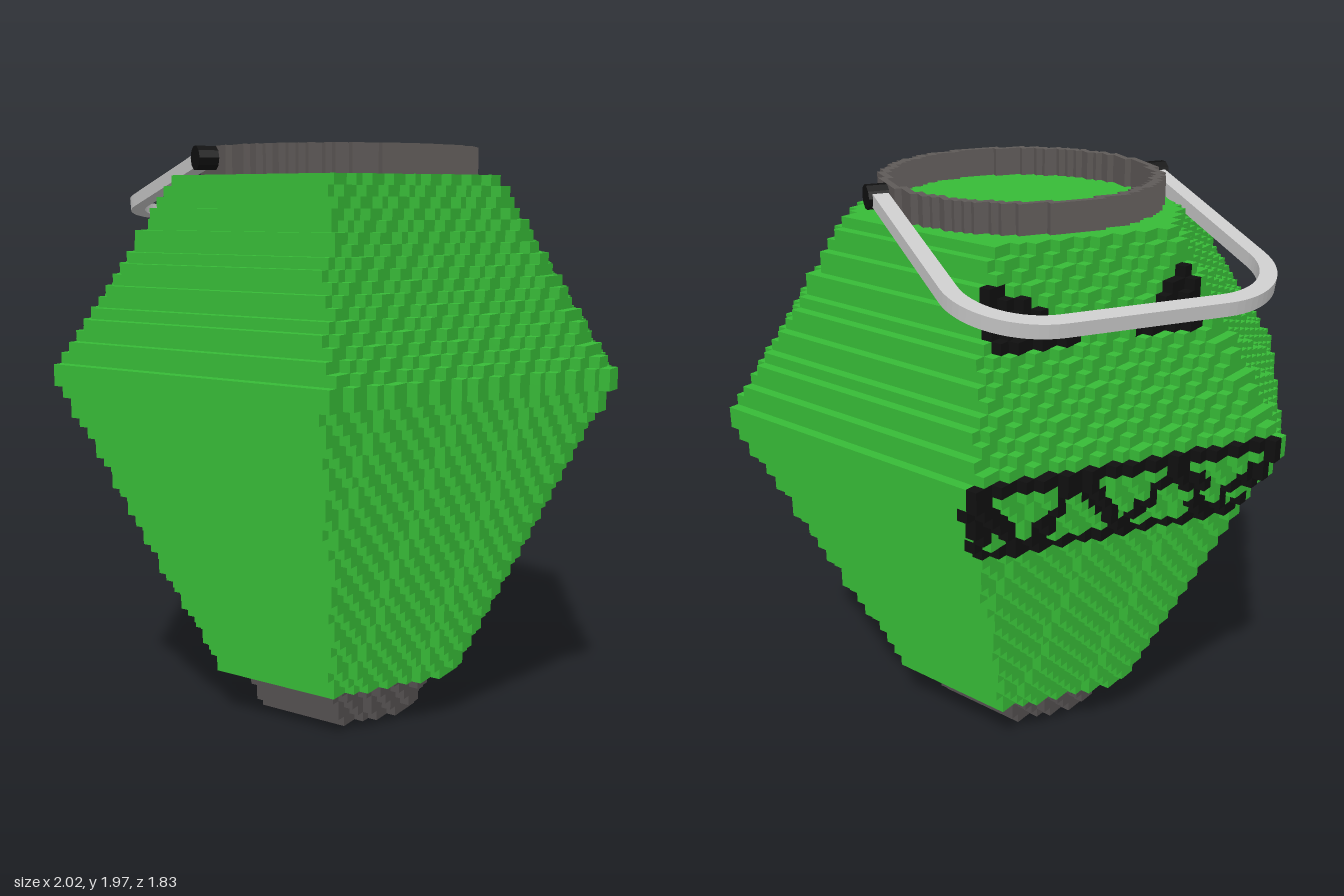
import * as THREE from 'three';
import { mergeGeometries } from 'three/addons/utils/BufferGeometryUtils.js';

const CELL = 0.0347;          // block size of the body
const BASE = 5, TOP = 54;     // layer numbers: base 0-4, body 5-53
const TAN30 = Math.tan(Math.PI / 6), COS30 = Math.cos(Math.PI / 6);

const mat = (color) => new THREE.MeshStandardMaterial({ color, flatShading: true });

function addMesh(parent, name, geometry, material) {
  const mesh = new THREE.Mesh(geometry, material);
  mesh.name = name;
  parent.add(mesh);
  return mesh;
}

// Stepped outline, symmetric on both axes, from whole-cell column heights
function steppedPoints(heights, cell) {
  const n = heights.length, pts = [];
  const column = (k) => heights[k < 0 ? -k - 1 : k] * cell;
  const push = (x, y) => pts.push(new THREE.Vector2(x, y));
  for (const side of [-1, 1]) {
    for (let j = -n; j < n; j++) {
      const k = side < 0 ? j : -j - 1;               // out along the bottom, back along the top
      const x0 = (side < 0 ? k : k + 1) * cell;
      const prev = j === -n ? null : column(side < 0 ? k - 1 : k + 1);
      if (prev !== null && prev === column(k)) continue;
      if (prev !== null) push(x0, side * prev);
      push(x0, side * column(k));
    }
    push(-side * n * cell, side * column(n - 1));
  }
  return pts;
}

// Flat slab lying on y
function slab(shape, y, height, curveSegments = 12) {
  return new THREE.ExtrudeGeometry(shape, { depth: height, bevelEnabled: false, curveSegments })
    .rotateX(-Math.PI / 2).translate(0, y, 0);
}

// Hexagon radius of each layer
function layerRadius(i) {
  if (i < BASE) return 0.3 + 0.0175 * i;
  if (i <= 35) return THREE.MathUtils.mapLinear(i, BASE, 35, 0.47, 1);
  return THREE.MathUtils.mapLinear(i, 36, TOP - 1, 1, 0.6);
}

// Column heights of a hexagon in whole cells
function hexHeights(R) {
  const n = Math.round(R * COS30 / CELL);
  return Array.from({ length: n }, (_, k) => Math.round((R - (k + 0.5) * CELL * TAN30) / CELL));
}

function circleHeights(r, cell) {
  const n = Math.round(r / cell);
  return Array.from({ length: n }, (_, k) =>
    Math.max(1, Math.round(Math.sqrt(Math.max(0, r * r - ((k + 0.5) * cell) ** 2)) / cell)));
}

function hexLayers(from, to) {
  const layers = [];
  for (let i = from; i < to; i++) {
    const shape = new THREE.Shape(steppedPoints(hexHeights(layerRadius(i)), CELL));
    layers.push(slab(shape, i * CELL, CELL));
  }
  return mergeGeometries(layers);
}

// Slanted triangular eyes
function isEye(x, y) {
  const ax = Math.abs(x);
  const upper = 1.6 + (ax - 0.08) * 0.65;
  const outer = 0.34 + (y - 1.6) * 0.25;
  return y > 1.6 && y < upper + 0.02 && ax > 0.08 && ax < outer;
}

// Framed mouth with zigzag teeth across the whole face
function isMouth(x, i) {
  if (i < 29 || i > 36) return false;
  const s = x / (layerRadius(i) / 2);
  const wave = Math.abs((((s + 1) * 1.5) % 1) * 2 - 1);
  return i === 29 || i === 36 || Math.abs(s) > 0.92 || Math.abs(wave - (i - 29) / 7) < 0.2;
}

// Dark blocks over the surface cells of the rear face
function faceBlocks(test) {
  const blocks = [], size = CELL * 1.08;
  for (let i = BASE; i < TOP; i++) {
    hexHeights(layerRadius(i)).forEach((h, k) => {
      const u = (k + 0.5) * CELL, v = -(h - 0.5) * CELL, y = (i + 0.5) * CELL;
      const x = u * COS30 + v * 0.5;
      if (test(x, y, i)) blocks.push(new THREE.BoxGeometry(size, size, size).translate(u, y, v));
    });
  }
  return mergeGeometries(blocks);
}

// U-shaped bar with rounded corners
function handleGeometry() {
  const w = 0.515, t = 0.052, len = 0.96, r = 0.27;
  const s = new THREE.Shape();
  s.moveTo(w, 0);
  s.lineTo(w, len - r);
  s.absarc(w - r, len - r, r, 0, Math.PI / 2, false);
  s.lineTo(r - w, len);
  s.absarc(r - w, len - r, r, Math.PI / 2, Math.PI, false);
  s.lineTo(-w, 0);
  s.lineTo(t - w, 0);
  s.lineTo(t - w, len - r);
  s.absarc(r - w, len - r, r - t, Math.PI, Math.PI / 2, true);
  s.lineTo(w - r, len - t);
  s.absarc(w - r, len - r, r - t, Math.PI / 2, 0, true);
  s.lineTo(w - t, 0);
  return slab(s, -0.022, 0.044, 8);
}

export function createModel() {
  const model = new THREE.Group();
  model.name = 'lantern';
  const green = mat(0x37bb37), dark = mat(0x5f5a58), baseDark = mat(0x545050), black = mat(0x101010);

  // Hexagonal body, turned so two of its sides run straight along the block grid
  const body = new THREE.Group();
  body.name = 'hexBody';
  body.rotation.y = Math.PI / 6;
  body.position.z = 0.04;
  model.add(body);
  addMesh(body, 'base', hexLayers(0, BASE), baseDark);
  addMesh(body, 'shell', hexLayers(BASE, TOP), green);
  addMesh(body, 'eyes', faceBlocks(isEye), black);
  addMesh(body, 'mouth', faceBlocks((x, y, i) => isMouth(x, i)), black);

  // Round rim on top
  const cell = 0.023;
  const rim = new THREE.Shape(steppedPoints(circleHeights(0.46, cell), cell));
  rim.holes.push(new THREE.Path(steppedPoints(circleHeights(0.43, cell), cell)));
  addMesh(model, 'rim', slab(rim, TOP * CELL, 0.095), dark).position.z = 0.04;

  // Swinging handle, lowered to the rear, on two pivots
  const handle = addMesh(model, 'handle', handleGeometry(), mat(0xcccccc));
  handle.position.set(0, 1.93, 0.04);
  handle.rotation.x = -0.195;
  for (const side of [-1, 1]) {
    const pivot = addMesh(model, side > 0 ? 'leftPivot' : 'rightPivot',
      new THREE.CylinderGeometry(0.04, 0.04, 0.07, 10).rotateZ(Math.PI / 2), black);
    pivot.position.set(side * 0.493, 1.93, 0.04);
  }
  return model;
}
